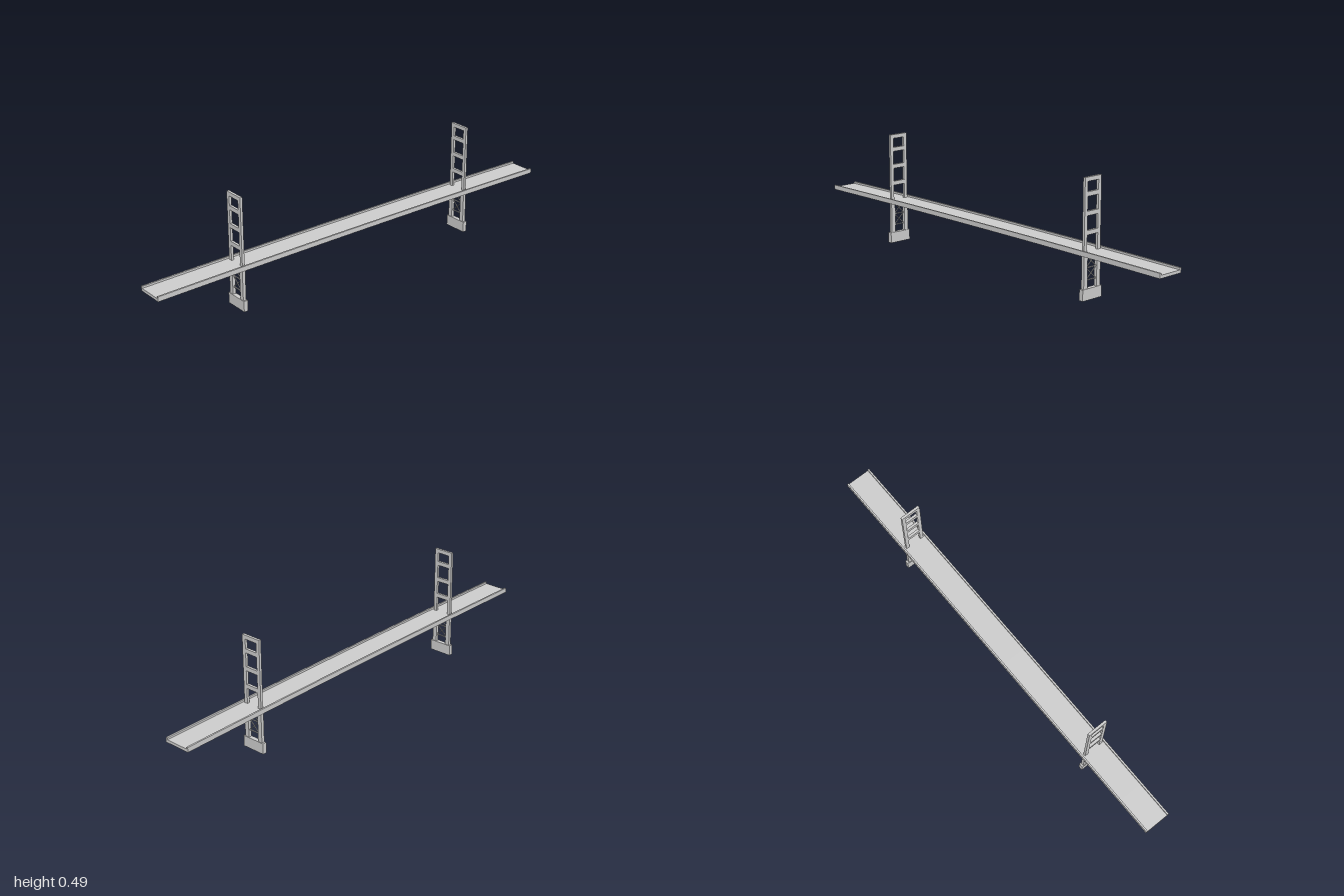
import * as THREE from 'three';

const material = new THREE.MeshStandardMaterial({ color: 0xcccccc, flatShading: true });

function add(parent, name, geometry, x = 0, y = 0, z = 0) {
  const mesh = new THREE.Mesh(geometry, material);
  mesh.name = name;
  mesh.position.set(x, y, z);
  parent.add(mesh);
  return mesh;
}

const polygon = (points) => new THREE.Shape(points.map(([a, b]) => new THREE.Vector2(a, b)));

// Extrude a z-y section along x, centred on x = 0
function extrudeAlongX(shape, length, steps = 1) {
  const g = new THREE.ExtrudeGeometry(shape, { depth: length, steps, bevelEnabled: false });
  return g.translate(0, 0, -length / 2).rotateY(Math.PI / 2);
}

// Roadway with a raised kerb on both edges and a slight upward camber
function makeDeck() {
  const w = 0.06, k = 0.0525, bottom = 0.18, road = 0.1925, top = 0.201;
  const g = extrudeAlongX(polygon([
    [-w, bottom], [w, bottom], [w, top], [k, top],
    [k, road], [-k, road], [-k, top], [-w, top],
  ]), 2, 24);
  const p = g.attributes.position;
  for (let i = 0; i < p.count; i++) {
    const x = p.getX(i);
    p.setY(i, p.getY(i) + 0.006 * (1 - x * x));
  }
  g.computeVertexNormals();
  return g;
}

function makeTower() {
  const tower = new THREE.Group();
  tower.name = 'tower';
  add(tower, 'footing', new THREE.BoxGeometry(0.019, 0.047, 0.107), 0, 0.0235, 0);

  // Lower legs
  for (const side of [-1, 1]) {
    add(tower, 'lowerLeg', new THREE.BoxGeometry(0.014, 0.14, 0.02), 0, 0.116, side * 0.036);
  }

  // Two cross-braced panels with horizontal struts
  const half = 0.027, panel = 0.05;
  for (const y of [0.08, 0.13]) {
    add(tower, 'strut', new THREE.BoxGeometry(0.004, 0.004, half * 2), 0, y, 0);
    for (const side of [-1, 1]) {
      const brace = add(tower, 'diagonalBrace',
        new THREE.BoxGeometry(0.003, 0.003, Math.hypot(half * 2, panel)), 0, y + panel / 2, 0);
      brace.rotation.x = side * Math.atan2(panel, half * 2);
    }
  }

  // Upper portal frame: open at the road, with three windows above
  const o = 0.0455, i = 0.0295;
  const frame = polygon([
    [-o, 0.183], [-i, 0.183], [-i, 0.263], [i, 0.263],
    [i, 0.183], [o, 0.183], [o, 0.493], [-o, 0.493],
  ]);
  for (const [low, high] of [[0.281, 0.340], [0.358, 0.417], [0.435, 0.476]]) {
    frame.holes.push(polygon([[-i, low], [-i, high], [i, high], [i, low]]));
  }
  add(tower, 'portalFrame', extrudeAlongX(frame, 0.011));
  return tower;
}

export function createModel() {
  const bridge = new THREE.Group();
  bridge.name = 'bridge';
  add(bridge, 'deck', makeDeck());
  for (const side of [-1, 1]) {
    const tower = makeTower();
    tower.position.x = side * 0.597;
    bridge.add(tower);
  }
  return bridge;
}
